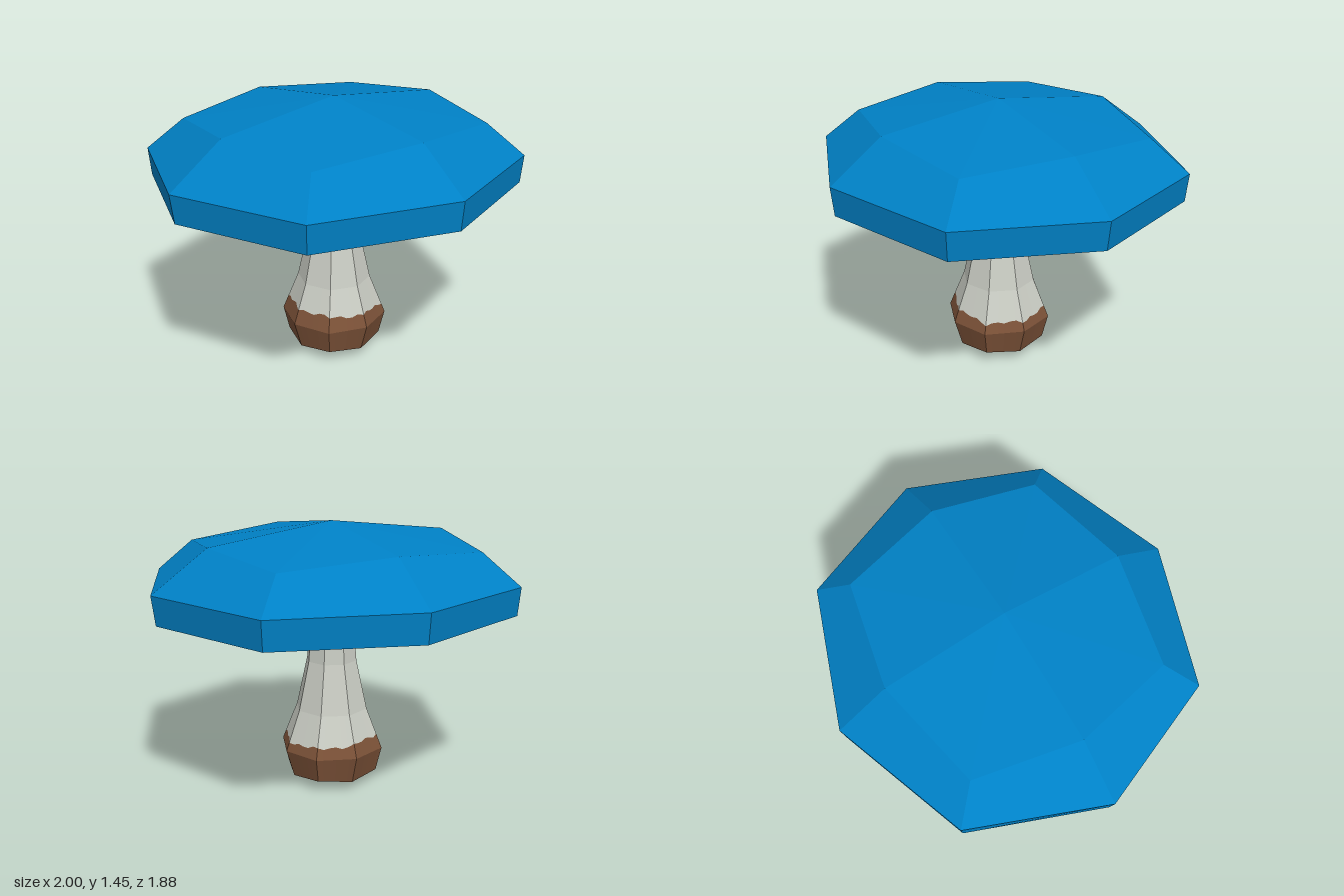
import * as THREE from 'three';

const SUB = 6; // points along each stem side, for the ragged soil line

// Eight-cornered ring starting at +z; diagonal corners have their own size and height.
function ring(rx, rz, y, dx = rx * 0.707, dz = rz * 0.707, dy = y) {
  const points = [];
  for (let k = 0; k < 8; k++) {
    const sx = Math.sign(Math.round(Math.sin(k * Math.PI / 4) * 10));
    const sz = Math.sign(Math.round(Math.cos(k * Math.PI / 4) * 10));
    points.push(sx && sz
      ? new THREE.Vector3(sx * dx, dy, sz * dz)
      : new THREE.Vector3(sx * rx, y, sz * rz));
  }
  return points;
}

// Adds points along the straight sides of a ring.
function subdivide(points) {
  return points.flatMap((p, k) => Array.from({ length: SUB }, (_, i) =>
    p.clone().lerp(points[(k + 1) % points.length], i / SUB)));
}

// Joins successive closed rings with panels, each shaded by one flat normal.
function loft(rings) {
  const positions = [], normals = [];
  const tri = (a, b, c, normal) => {
    const area = b.clone().sub(a).cross(c.clone().sub(a)).length();
    if (area < 1e-9) return;
    for (const p of [a, b, c]) {
      positions.push(p.x, p.y, p.z);
      normals.push(normal.x, normal.y, normal.z);
    }
  };
  for (let i = 0; i < rings.length - 1; i++) {
    const lo = rings[i], hi = rings[i + 1], n = lo.length;
    for (let j = 0; j < n; j++) {
      const k = (j + 1) % n;
      const normal = hi[k].clone().sub(lo[j]).cross(hi[j].clone().sub(lo[k])).normalize();
      tri(lo[j], lo[k], hi[k], normal);
      tri(lo[j], hi[k], hi[j], normal);
    }
  }
  const geometry = new THREE.BufferGeometry();
  geometry.setAttribute('position', new THREE.Float32BufferAttribute(positions, 3));
  geometry.setAttribute('normal', new THREE.Float32BufferAttribute(normals, 3));
  return geometry;
}

export function createModel() {
  const blue = new THREE.MeshStandardMaterial({ name: 'cap blue', color: 0x0081c6 });
  const pale = new THREE.MeshStandardMaterial({ name: 'stem pale grey', color: 0xcacdc4 });
  const soil = new THREE.MeshStandardMaterial({ name: 'soil brown', color: 0x7c5238 });
  const tan = new THREE.MeshStandardMaterial({ name: 'underside tan', color: 0xc5885c });

  const model = new THREE.Group();
  model.name = 'mushroom';
  const add = (name, rings, material) => {
    const mesh = new THREE.Mesh(loft(rings), material);
    mesh.name = name;
    model.add(mesh);
  };

  // Cap: flat lower lip, upright rim, sloping shoulder and shallow dome
  const lip = ring(0.81, 0.76, 0.99, 0.58, 0.555);
  add('cap', [
    lip,
    ring(0.98, 0.925, 0.99, 0.715, 0.675),
    ring(1, 0.94, 1.145, 0.725, 0.685, 1.14),
    ring(0.7, 0.66, 1.355, 0.58, 0.54, 1.31),
    ring(0, 0, 1.445),
  ], blue);

  // Hollow underside of the cap
  add('capUnderside', [
    ring(0, 0, 1.18),
    ring(0.5, 0.47, 1.15, 0.39, 0.365, 1.13),
    lip,
  ], tan);

  // Stem, divided into soil and pale flesh along a ragged line
  const bulge = subdivide(ring(0.28, 0.28, 0.2, 0.203, 0.203));
  const neck = subdivide(ring(0.2, 0.2, 0.42));
  const soilLine = bulge.map((p, i) => {
    const y = 0.268 - 0.06 * p.x + 0.007 * Math.sin(i * 1.9) + 0.005 * Math.sin(i * 0.8);
    return p.clone().lerp(neck[i], (y - 0.2) / 0.22);
  });
  add('stemSoil', [
    subdivide(ring(0, 0, 0)),
    subdivide(ring(0.235, 0.235, 0.05, 0.18, 0.18, 0.068)),
    bulge,
    soilLine,
  ], soil);
  add('stem', [
    soilLine,
    neck,
    subdivide(ring(0.14, 0.14, 0.69)),
    subdivide(ring(0.12, 0.12, 0.95)),
    subdivide(ring(0.05, 0.05, 1.15)),
    subdivide(ring(0, 0, 1.165)),
  ], pale);

  return model;
}
